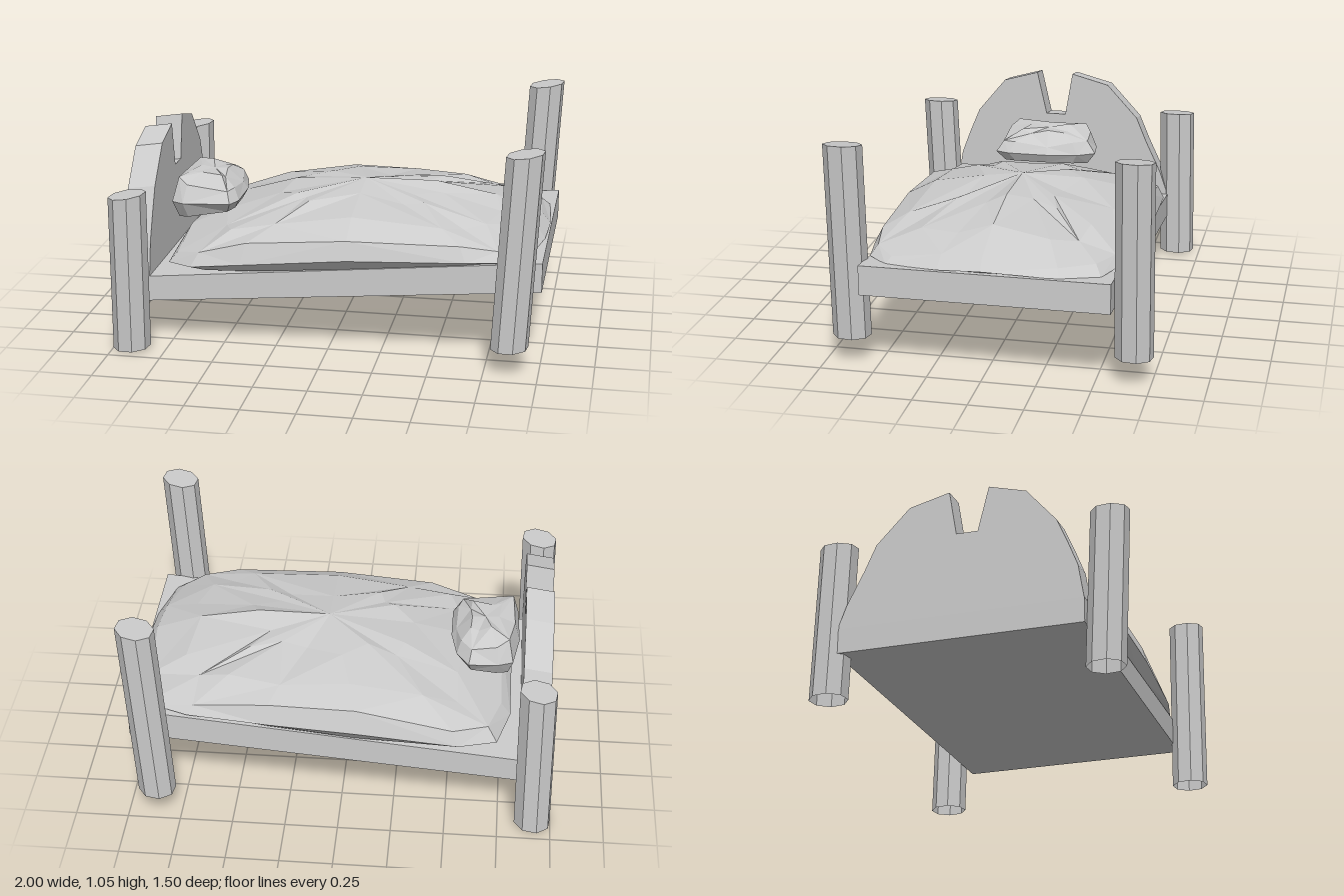
import * as THREE from 'three';

const material = new THREE.MeshStandardMaterial({ color: 0xcccccc, flatShading: true });
const openMaterial = new THREE.MeshStandardMaterial({ color: 0xcccccc, flatShading: true, side: THREE.DoubleSide });

// Move every vertex by a rule
function reshape(geometry, rule) {
  const p = geometry.attributes.position;
  const v = new THREE.Vector3();
  for (let i = 0; i < p.count; i++) {
    rule(v.fromBufferAttribute(p, i));
    p.setXYZ(i, v.x, v.y, v.z);
  }
  geometry.computeVertexNormals();
  return geometry;
}

function addPart(group, name, geometry, mat = material) {
  const mesh = new THREE.Mesh(geometry, mat);
  mesh.name = name;
  group.add(mesh);
}

// Piecewise linear lookup through [x, y] points
function along(points, x) {
  let i = 1;
  while (i < points.length - 1 && x > points[i][0]) i++;
  const [[x0, y0], [x1, y1]] = [points[i - 1], points[i]];
  return THREE.MathUtils.lerp(y0, y1, THREE.MathUtils.clamp((x - x0) / (x1 - x0), 0, 1));
}

// Leaning eight-sided post: capped on top, hollow below
function postGeometry([x0, y0, z0], [x1, y1, z1]) {
  const g = new THREE.CylinderGeometry(0.088, 0.088, 1, 8, 1, false, 0.25);
  g.setIndex(Array.from(g.index.array).slice(0, -24));
  return reshape(g, (v) => {
    const t = v.y + 0.5;
    v.y = THREE.MathUtils.lerp(y0, y1, t) + v.x * (0.06 + 0.09 * t);
    v.x += THREE.MathUtils.lerp(x0, x1, t);
    v.z += THREE.MathUtils.lerp(z0, z1, t);
  });
}

// Lumpy cushion: an outline shrunk ring by ring, with a height rule per ring
function cushionGeometry(outline, centre, scales, height, wobble) {
  const n = outline.length;
  const pos = [];
  const index = [];
  scales.forEach((s, j) => outline.forEach(([ox, oz], i) => {
    const k = j > 1 ? wobble : 0;
    const shrink = s + k * (1 - s) * 12 * Math.sin(i * 2.3 + j * 1.7);
    const x = centre[0] + (ox - centre[0]) * shrink;
    const z = centre[1] + (oz - centre[1]) * shrink;
    pos.push(x, height(x, z, j) + k * Math.sin(i * 3.9 + j * 2.1), z);
  }));
  const last = scales.length - 1;
  pos.push(centre[0], height(...centre, 0), centre[1]);
  pos.push(centre[0], height(...centre, last), centre[1]);
  for (let i = 0; i < n; i++) {
    const next = (i + 1) % n;
    for (let j = 0; j < last; j++) {
      const a = j * n + i, b = j * n + next, c = b + n, d = a + n;
      if ((i + j) % 2) index.push(a, d, c, a, c, b);
      else index.push(a, d, b, d, c, b);
    }
    index.push((last + 1) * n, i, next);
    index.push((last + 1) * n + 1, last * n + next, last * n + i);
  }
  const g = new THREE.BufferGeometry();
  g.setAttribute('position', new THREE.Float32BufferAttribute(pos, 3));
  g.setIndex(index);
  g.computeVertexNormals();
  return g;
}

export function createModel() {
  const bed = new THREE.Group();
  bed.name = 'bed';

  // Posts
  addPart(bed, 'headPostFront', postGeometry([-0.915, 0.006, 0.633], [-0.905, 0.765, 0.663]), openMaterial);
  addPart(bed, 'headPostBack', postGeometry([-0.915, 0.006, -0.63], [-0.905, 0.765, -0.615]), openMaterial);
  addPart(bed, 'footPostFront', postGeometry([0.865, 0.123, 0.633], [0.914, 1.043, 0.637]), openMaterial);
  addPart(bed, 'footPostBack', postGeometry([0.865, 0.123, -0.67], [0.914, 1.043, -0.667]), openMaterial);

  // Sloping base slab, thicker at the foot
  addPart(bed, 'bedFrame', reshape(new THREE.BoxGeometry(1, 1, 1), (v) => {
    const t = v.x + 0.5;
    v.y = v.y > 0 ? 0.32 + 0.19 * t : 0.2 + 0.17 * t;
    v.x = -0.975 + 1.973 * t;
    v.z = v.z > 0 ? 0.557 : -0.582;
  }));

  // Notched headboard, profile as [z, y]
  const profile = [
    [0.557, 0.225], [0.557, 0.33], [0.53, 0.5], [0.485, 0.62], [0.435, 0.74], [0.295, 0.91], [0.12, 0.96],
    [0.07, 0.74], [-0.03, 0.74], [-0.067, 0.96], [-0.255, 0.91], [-0.41, 0.74], [-0.46, 0.62],
    [-0.54, 0.45], [-0.582, 0.33], [-0.582, 0.225],
  ];
  const shape = new THREE.Shape(profile.map(([z, y]) => new THREE.Vector2(-z, y)));
  const board = new THREE.ExtrudeGeometry(shape, { depth: 0.132, bevelEnabled: false });
  board.rotateY(Math.PI / 2).translate(-0.975, 0, 0);
  addPart(bed, 'headboard', reshape(board, (v) => {
    v.y += 0.15 * (v.x + 0.85);
    v.x += 0.012 * (v.y - 0.2);
  }));

  // Crumpled mattress and blanket, ridged along the middle
  const crest = [[-0.79, 0.475], [-0.5, 0.585], [-0.08, 0.71], [0.2, 0.7], [0.47, 0.695], [0.8, 0.645], [1, 0.59]];
  const rise = [0, 0.3, 0.82, 1, 1];
  const blanketOutline = [
    [-0.79, -0.3], [-0.73, -0.52], [-0.55, -0.6], [-0.08, -0.625], [0.35, -0.61], [0.72, -0.58], [0.89, -0.52],
    [0.97, -0.35], [0.995, 0], [0.985, 0.2], [0.93, 0.45], [0.83, 0.55], [0.65, 0.58], [0.1, 0.595],
    [-0.4, 0.6], [-0.64, 0.57], [-0.77, 0.47], [-0.79, 0.15],
  ];
  addPart(bed, 'blanket', cushionGeometry(blanketOutline, [0.1, 0], [0.92, 1, 0.95, 0.74, 0.38], (x, z, j) => {
    const low = 0.36 + 0.078 * (x + 0.7);
    const top = along(crest, x) - 0.17 * Math.abs(z) * (0.6 + 0.4 * Math.min(1, x + 0.8));
    return THREE.MathUtils.lerp(low, top, rise[j]);
  }, 0.011));

  // Pillow
  const pillowOutline = [
    [-0.82, 0], [-0.79, -0.19], [-0.72, -0.22], [-0.58, -0.235], [-0.52, -0.15],
    [-0.49, 0], [-0.49, 0.2], [-0.52, 0.27], [-0.75, 0.275], [-0.81, 0.24],
  ];
  const levels = [[0.545, 0.18], [0.61, 0.03], [0.685, -0.17], [0.72, -0.12]];
  addPart(bed, 'pillow', cushionGeometry(pillowOutline, [-0.65, 0.02], [0.84, 1, 0.85, 0.45],
    (x, z, j) => levels[j][0] + levels[j][1] * (x + 0.65), 0.011));

  return bed;
}
